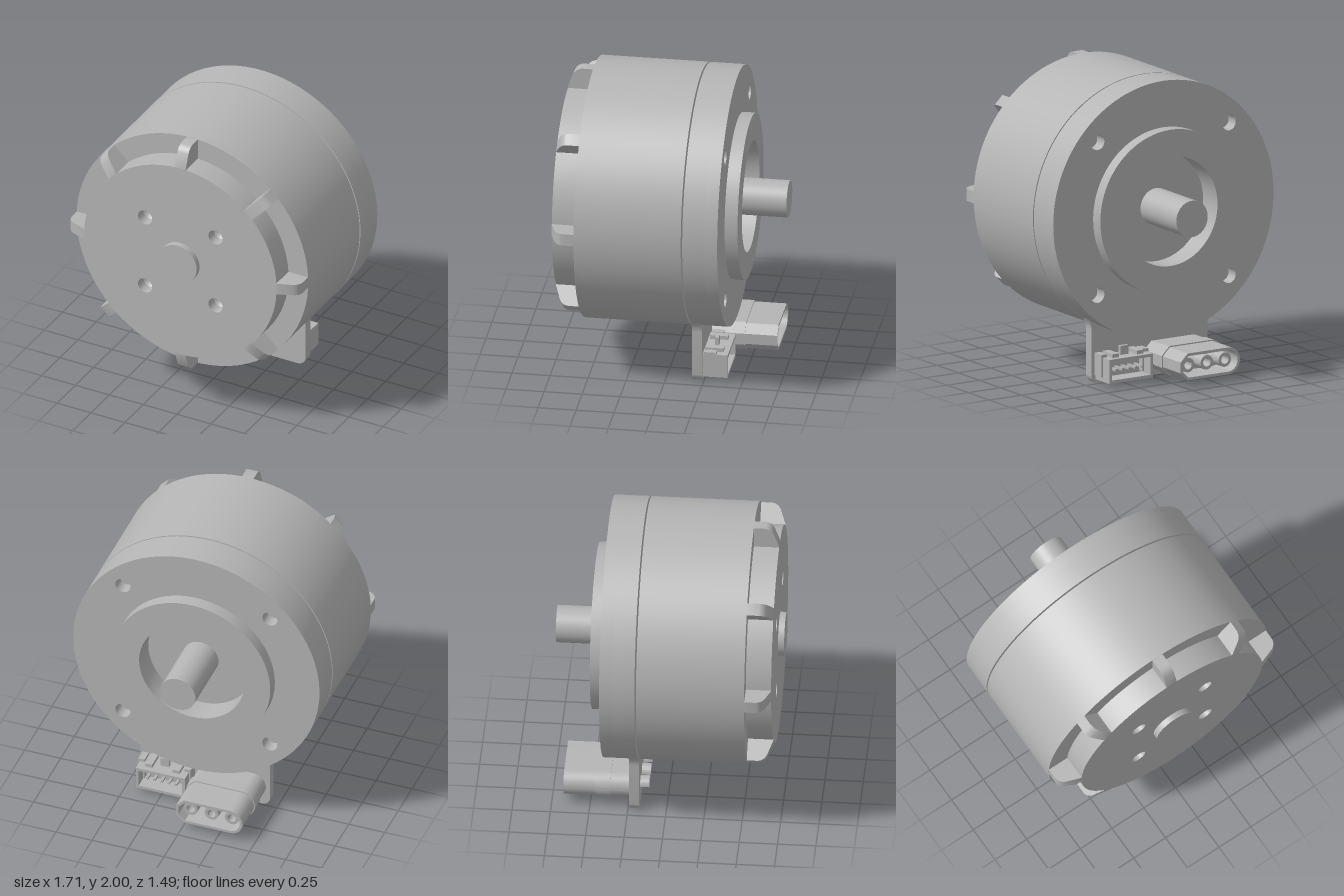
import * as THREE from 'three';
import { toCreasedNormals } from 'three/addons/utils/BufferGeometryUtils.js';

const AXIS_Y = 1.145, R = 0.855;

export function createModel() {
  const model = new THREE.Group();
  model.name = 'electricMotor';
  const grey = new THREE.MeshStandardMaterial({ color: 0xb5b5b5 });
  grey.name = 'metalGrey';

  const add = (name, geo, parent = model) => {
    const mesh = new THREE.Mesh(geo, grey);
    mesh.name = name;
    parent.add(mesh);
    return mesh;
  };
  // Prism of a shape between two depths along z
  const prism = (shape, z0, z1, segments = 48) => {
    const geo = new THREE.ExtrudeGeometry(shape, { depth: z1 - z0, bevelEnabled: false, curveSegments: segments });
    return toCreasedNormals(geo.translate(0, 0, z0), 0.6);
  };
  const circle = (r, x = 0, y = 0) => new THREE.Shape().absarc(x, y, r, 0, Math.PI * 2, false);
  const hole = (r, x = 0, y = 0) => new THREE.Path().absarc(x, y, r, 0, Math.PI * 2, true);
  const box = (x0, x1, y0, y1, z0, z1) => new THREE.BoxGeometry(x1 - x0, y1 - y0, z1 - z0)
    .translate((x0 + x1) / 2, (y0 + y1) / 2, (z0 + z1) / 2);
  const rod = (r, x, y, z0, z1) => new THREE.CylinderGeometry(r, r, z1 - z0, 48)
    .rotateX(Math.PI / 2).translate(x, y, (z0 + z1) / 2);
  const corners = (d) => [[d, d], [-d, d], [-d, -d], [d, -d]];
  // Conical bottom of a drilled hole; dir is the side it opens to
  const drillTip = (r, x, y, z, dir) => new THREE.LatheGeometry(
    [new THREE.Vector2(r, 0), new THREE.Vector2(0, -0.05)], 24).rotateX(dir * Math.PI / 2).translate(x, y, z);

  // Round parts share the motor axis
  const body = new THREE.Group();
  body.name = 'motorBody';
  body.position.y = AXIS_Y;
  model.add(body);

  // Rotor bell with a narrower, drilled cap
  add('rotorBell', prism(circle(R), -0.165, 0.54), body);
  const cap = circle(0.71);
  for (const [x, y] of corners(0.26)) cap.holes.push(hole(0.052, x, y));
  add('rotorCap', prism(cap, 0.54, 0.705), body);
  for (const [x, y] of corners(0.26)) add('capHoleTip', drillTip(0.052, x, y, 0.63, 1), body);
  add('frontBoss', rod(0.142, 0, 0, 0.70, 0.745), body);

  // Eight rounded ribs around the cap
  const rib = new THREE.Shape();
  rib.moveTo(0.69, 0.53);
  rib.lineTo(0.853, 0.53);
  rib.lineTo(0.853, 0.61);
  rib.quadraticCurveTo(0.85, 0.65, 0.81, 0.67);
  rib.lineTo(0.715, 0.705);
  rib.lineTo(0.69, 0.705);
  const ribGeo = prism(rib, -0.04, 0.04, 8).rotateX(Math.PI / 2);
  for (let i = 0; i < 8; i++) add('rib', ribGeo, body).rotation.z = i * Math.PI / 4;

  // Stator plate, pilot ring and shaft
  add('gapDisc', rod(0.405, 0, 0, -0.18, -0.16), body);
  add('statorFront', prism(circle(R), -0.32, -0.175), body);
  const flange = circle(R);
  flange.holes.push(hole(0.365));
  for (const [x, y] of corners(0.51)) flange.holes.push(hole(0.052, x, y));
  add('statorFlange', prism(flange, -0.405, -0.32), body);
  const ring = circle(0.545);
  ring.holes.push(hole(0.365));
  add('pilotRing', prism(ring, -0.49, -0.405), body);
  add('shaft', rod(0.122, 0, 0, -0.745, -0.3), body);

  // Connector board hanging below the stator
  const pinX = [-0.33, -0.19, -0.045], pinY = 0.145;
  const board = new THREE.Shape();
  board.moveTo(-0.39, 0);
  board.lineTo(0.39, 0);
  board.absarc(0.39, 0.06, 0.06, -Math.PI / 2, 0, false);
  board.lineTo(0.45, 0.36);
  board.quadraticCurveTo(0.45, 0.40, 0.48, 0.44);
  board.lineTo(0.48, 0.5);
  board.lineTo(-0.48, 0.5);
  board.lineTo(-0.48, 0.44);
  board.quadraticCurveTo(-0.45, 0.40, -0.45, 0.36);
  board.lineTo(-0.45, 0.06);
  board.absarc(-0.39, 0.06, 0.06, Math.PI, Math.PI * 1.5, false);
  for (const x of pinX) board.holes.push(hole(0.03, x, pinY));
  add('connectorBoard', prism(board, -0.24, -0.175, 16));

  // Half-round solder cups on the front of the board
  for (const x of pinX) {
    const cup = new THREE.Shape();
    cup.absarc(x, pinY, 0.05, 0, Math.PI, false);
    cup.absarc(x, pinY, 0.03, Math.PI, 0, true);
    add('solderCup', prism(cup, -0.18, -0.115, 16));
  }

  // Power connector: rounded shell, chamfered at one end, with three pins
  const shellOutline = (inset, Type) => {
    const h = 0.09 - inset, x0 = -0.42 + inset, x1 = 0.04 - inset, y = 0.14;
    const s = new Type();
    s.moveTo(x0 + h, y - h);
    s.lineTo(x1 - h * 0.6, y - h);
    s.lineTo(x1, y - h * 0.4);
    s.lineTo(x1, y + h * 0.4);
    s.lineTo(x1 - h * 0.6, y + h);
    s.lineTo(x0 + h, y + h);
    s.absarc(x0 + h, y, h, Math.PI / 2, Math.PI * 1.5, false);
    return s;
  };
  add('powerConnectorBase', prism(shellOutline(0, THREE.Shape), -0.48, -0.235, 16));
  add('powerConnectorCollar', prism(shellOutline(-0.008, THREE.Shape), -0.46, -0.365, 16));
  const shell = shellOutline(0, THREE.Shape);
  shell.holes.push(shellOutline(0.018, THREE.Path));
  add('powerConnectorShell', prism(shell, -0.672, -0.48, 16));
  for (const x of pinX) {
    const pin = circle(0.048, x, 0.14);
    pin.holes.push(hole(0.028, x, 0.14));
    add('powerPin', prism(pin, -0.63, -0.47, 16));
  }

  // Signal connector: open box with a keyed wall and a row of pins
  const [x0, x1, y0, y1, zb, zf] = [0.08, 0.42, 0.03, 0.19, -0.24, -0.405];
  add('signalBase', box(x0, x1, y0, y1, -0.29, zb));
  add('signalWallLow', box(x0, x1, y0, y0 + 0.02, zf, -0.29));
  add('signalWallHigh', box(x0, x1, y1 - 0.02, y1, zf, -0.29));
  for (const x of [x0, x1 - 0.02]) {
    add('signalSideWall', box(x, x + 0.02, y0, y1, zf, -0.29));
    add('signalLatch', box(x - 0.012, x + 0.032, y0 + 0.03, y1 + 0.02, -0.33, -0.25));
  }
  for (const x of [0.13, 0.32]) add('signalKey', box(x, x + 0.05, y1, y1 + 0.025, -0.37, -0.25));
  add('signalTab', box(0.22, 0.28, y1, 0.25, -0.325, -0.3));
  for (let i = 0; i < 5; i++) {
    const x = 0.15 + i * 0.05;
    add('signalPin', box(x - 0.008, x + 0.008, 0.1, 0.116, -0.385, -0.28));
  }
  return model;
}
